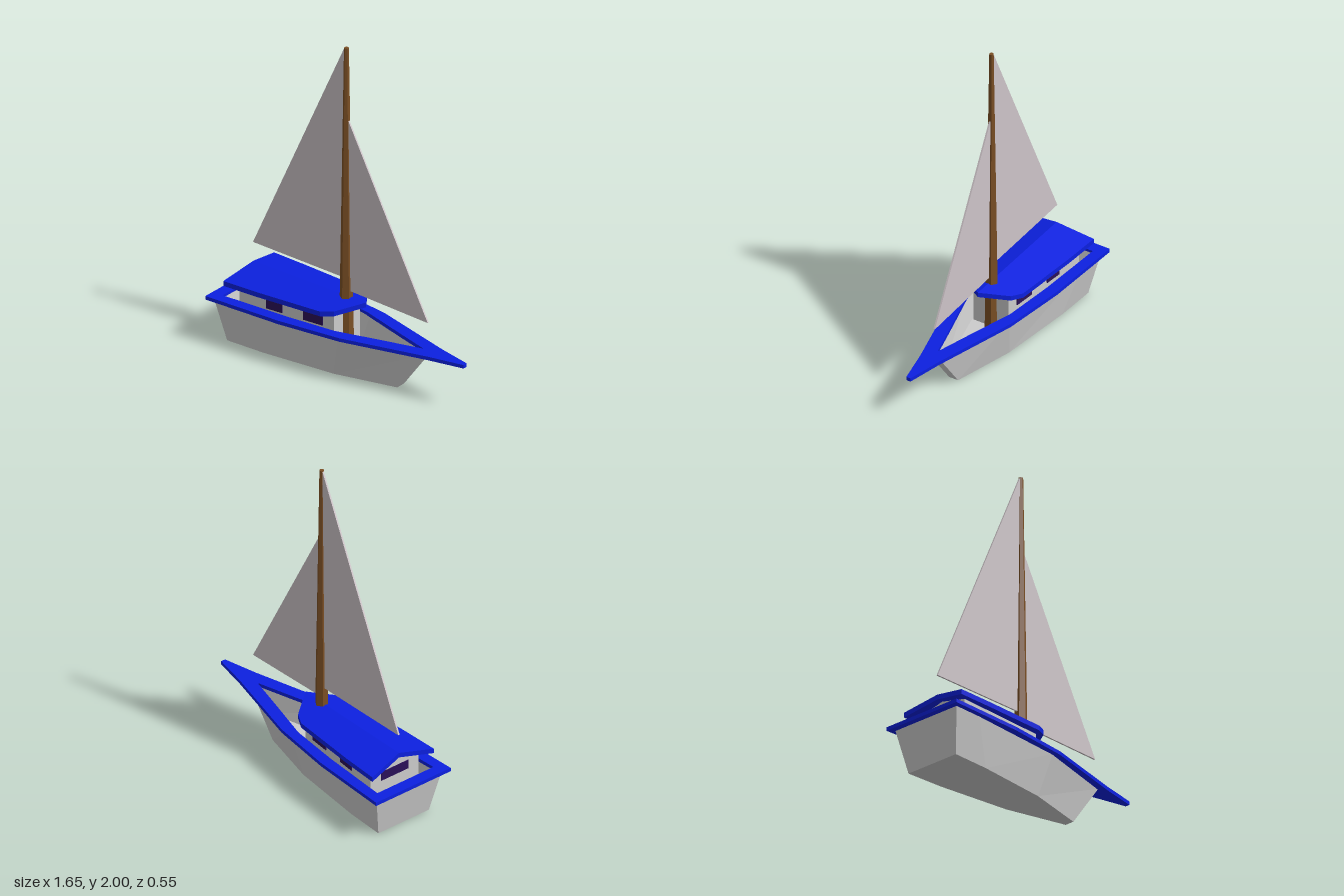
import * as THREE from 'three';

const material = (color) => new THREE.MeshStandardMaterial({ color, flatShading: true });

// Closed outline, mirrored across z = 0. Station: [x, half width, edge y, centre x, centre y]
function makeRing(stations) {
  const edge = stations.map(([x, w, y]) => [x, y, w]);
  const centre = stations.map(([x, , y, cx = x, cy = y]) => [cx, cy, 0]);
  const mirrored = edge.map(([x, y, z]) => [x, y, -z]).reverse();
  return { edge, centre, loop: [...edge, centre[centre.length - 1], ...mirrored, centre[0]] };
}

// Skin a series of outlines; either cap the two ends or join last to first
function loft(sections, closed = false) {
  const rings = sections.map(makeRing);
  const pos = [];
  const quad = (a, b, c, d) => pos.push(...a, ...b, ...c, ...a, ...c, ...d);
  const n = rings[0].loop.length;
  const spans = closed ? rings.length : rings.length - 1;
  for (let r = 0; r < spans; r++) {
    const a = rings[r].loop, b = rings[(r + 1) % rings.length].loop;
    for (let i = 0; i < n; i++) {
      const j = (i + 1) % n;
      quad(a[i], a[j], b[j], b[i]);
    }
  }
  const cap = ({ edge, centre }, up) => {
    const flip = ([x, y, z]) => [x, y, -z];
    for (let i = 0; i < edge.length - 1; i++) {
      const q = [edge[i], edge[i + 1], centre[i + 1], centre[i]];
      const m = q.map(flip);
      quad(...(up ? q : [...q].reverse()));
      quad(...(up ? m.reverse() : m));
    }
  };
  if (!closed) {
    cap(rings[0], false);
    cap(rings[rings.length - 1], true);
  }
  const geo = new THREE.BufferGeometry();
  geo.setAttribute('position', new THREE.Float32BufferAttribute(pos, 3));
  geo.computeVertexNormals();
  return geo;
}

const atHeight = (plan, y) => plan.map(([x, w]) => [x, w, y]);

export function createModel() {
  const model = new THREE.Group();
  const grey = material(0xcccccc);
  const blue = material(0x0c20e0);
  const wood = material(0x7a4e24);
  const glass = material(0x2a1058);
  const cloth = material(0xcdc4c8);
  cloth.side = THREE.DoubleSide;

  const add = (name, geo, mat, parent = model) => {
    const mesh = new THREE.Mesh(geo, mat);
    mesh.name = name;
    parent.add(mesh);
    return mesh;
  };

  // Hull: outside up, over the edge, then down inside to the floor
  add('hull', loft([
    atHeight([[-0.74, 0.185], [-0.49, 0.175], [-0.02, 0.125], [0.36, 0.03]], 0),
    atHeight([[-0.79, 0.24], [-0.6, 0.232], [0.05, 0.172], [0.56, 0.03]], 0.27),
    atHeight([[-0.755, 0.205], [-0.6, 0.2], [0.02, 0.146], [0.52, 0.005]], 0.27),
    atHeight([[-0.73, 0.18], [-0.55, 0.172], [-0.01, 0.122], [0.44, 0.005]], 0.13),
  ]), grey);

  // Gunwale: a flat ring running out to a point at the bow
  const outer = [[-0.825, 0.273], [-0.32, 0.25], [0.08, 0.2], [0.61, 0.06], [0.825, 0.014]];
  const inner = [[-0.755, 0.205], [-0.32, 0.18], [0.0, 0.147], [0.3, 0.062], [0.52, 0.002]];
  add('gunwale', loft([
    atHeight(outer, 0.264), atHeight(outer, 0.286),
    atHeight(inner, 0.286), atHeight(inner, 0.264),
  ], true), blue);

  // Cabin: walls taper forward and rise to the ridge
  const cabinPlan = [[-0.66, 0.175], [-0.025, 0.115]];
  const roofY = (w) => 0.44 - 0.05 * w / 0.225;
  add('cabin', loft([
    atHeight(cabinPlan, 0.13),
    cabinPlan.map(([x, w]) => [x, w, roofY(w) - 0.02, x, 0.42]),
  ]), grey);

  // Roof: two slopes meeting at a ridge, pointed at the front
  const roofPlan = [[-0.735, 0.225, -0.7], [-0.5, 0.215], [-0.07, 0.185], [0, 0.148], [0.11, 0]];
  const roofAt = (drop) => roofPlan.map(([x, w, cx = x]) => [x, w, roofY(w) - drop, cx, 0.44 - drop]);
  add('roof', loft([roofAt(0.03), roofAt(0)]), blue);

  // Windows: two each side, one in the stern wall
  const slope = (0.175 - 0.115) / 0.635;
  const windows = new THREE.Group();
  windows.name = 'windows';
  model.add(windows);
  for (const side of [1, -1]) {
    for (const [x, length] of [[-0.425, 0.11], [-0.165, 0.13]]) {
      const pane = add('sideWindow', new THREE.BoxGeometry(length, 0.055, 0.01), glass, windows);
      pane.position.set(x, 0.305, side * (0.175 - slope * (x + 0.66)));
      pane.rotation.y = side * Math.atan(slope);
    }
  }
  add('sternWindow', new THREE.BoxGeometry(0.01, 0.055, 0.2), glass, windows).position.set(-0.66, 0.305, 0);

  // Mast: tapered, six sides
  add('mast', new THREE.CylinderGeometry(0.014, 0.043, 1.87, 6), wood).position.set(-0.03, 1.065, 0);

  // Sails: thin triangles
  const sail = (name, corners) => {
    const shape = new THREE.Shape(corners.map(([x, y]) => new THREE.Vector2(x, y)));
    const geo = new THREE.ExtrudeGeometry(shape, { depth: 0.01, bevelEnabled: false });
    add(name, geo.translate(0, 0, -0.005), cloth);
  };
  sail('mainSail', [[-0.04, 2], [-0.7, 0.56], [-0.03, 0.55]]);
  sail('foreSail', [[-0.03, 1.58], [-0.03, 0.48], [0.56, 0.46]]);

  return model;
}
